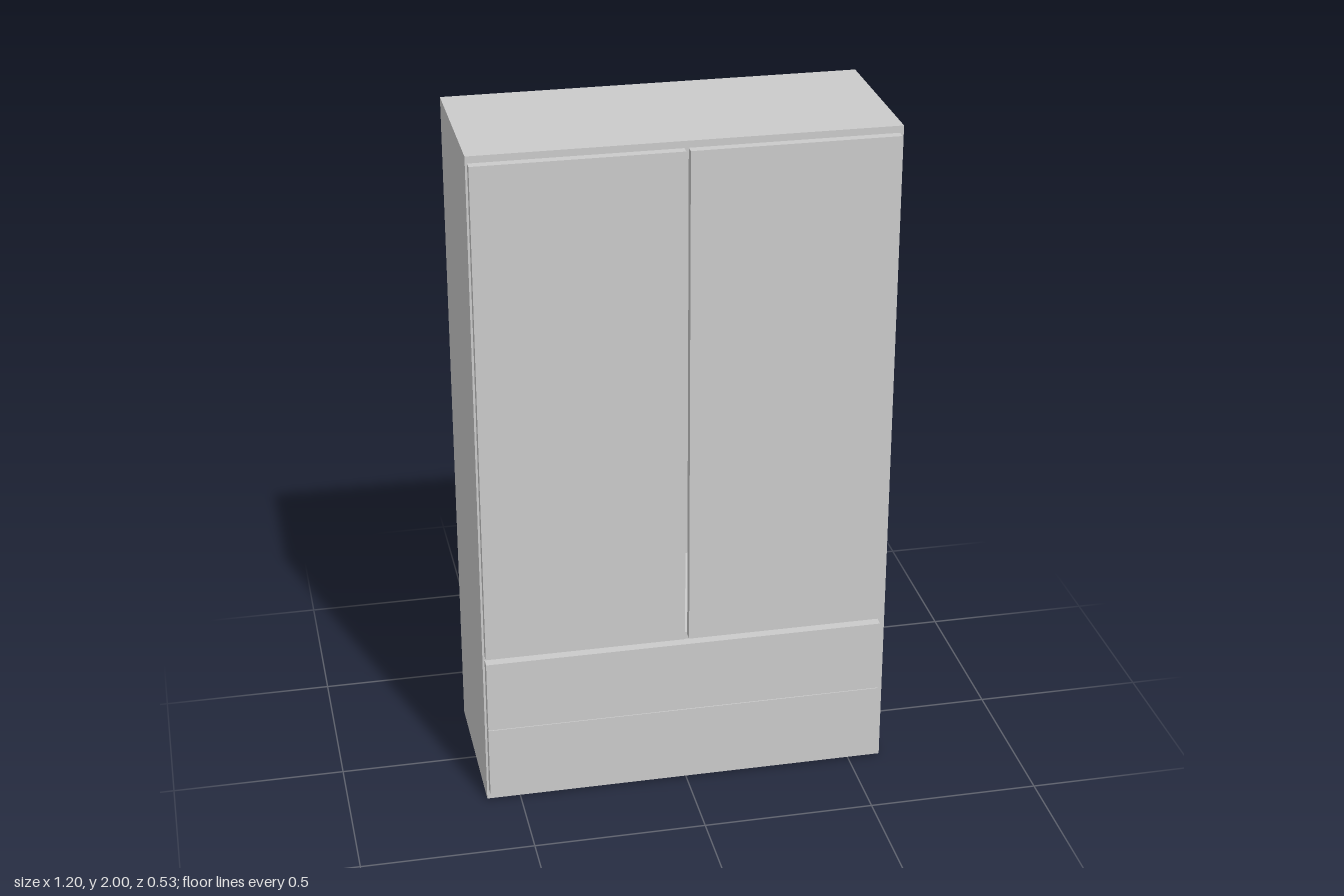
import * as THREE from 'three';

const material = new THREE.MeshStandardMaterial({ color: 0xcccccc });

// Box given by its low and high limits on each axis
function panel(name, [x0, x1], [y0, y1], [z0, z1]) {
  const mesh = new THREE.Mesh(new THREE.BoxGeometry(x1 - x0, y1 - y0, z1 - z0), material);
  mesh.name = name;
  mesh.position.set((x0 + x1) / 2, (y0 + y1) / 2, (z0 + z1) / 2);
  return mesh;
}

function rectangle(path, x0, x1, y0, y1) {
  path.moveTo(x0, y0);
  path.lineTo(x1, y0);
  path.lineTo(x1, y1);
  path.lineTo(x0, y1);
  path.closePath();
  return path;
}

export function createModel() {
  const wardrobe = new THREE.Group();
  wardrobe.name = 'wardrobe';
  const back = -0.263, front = 0.232, wall = 0.023;

  // Carcass: a frame around the hanging compartment, closed by a back panel
  const outline = rectangle(new THREE.Shape(), -0.598, 0.598, 0, 2);
  outline.holes.push(rectangle(new THREE.Path(), -0.598 + wall, 0.598 - wall, 0.495, 2 - wall));
  const carcass = new THREE.Mesh(
    new THREE.ExtrudeGeometry(outline, { depth: front - back - wall, bevelEnabled: false }),
    material
  );
  carcass.name = 'carcass';
  carcass.position.z = back + wall;
  wardrobe.add(carcass);
  wardrobe.add(panel('backPanel', [-0.598, 0.598], [0, 2], [back, back + wall]));

  // Two tall doors with a narrow gap between them
  wardrobe.add(panel('rightDoor', [-0.592, -0.009], [0.487, 1.98], [front, 0.259]));
  wardrobe.add(panel('leftDoor', [0.003, 0.587], [0.487, 1.98], [front, 0.259]));

  // Two wide drawer fronts, slightly proud of the doors
  for (const [name, y] of [['lowerDrawer', 0.032], ['upperDrawer', 0.253]]) {
    wardrobe.add(panel(name, [-0.592, 0.577], [y, y + 0.219], [front, 0.263]));
  }
  return wardrobe;
}
